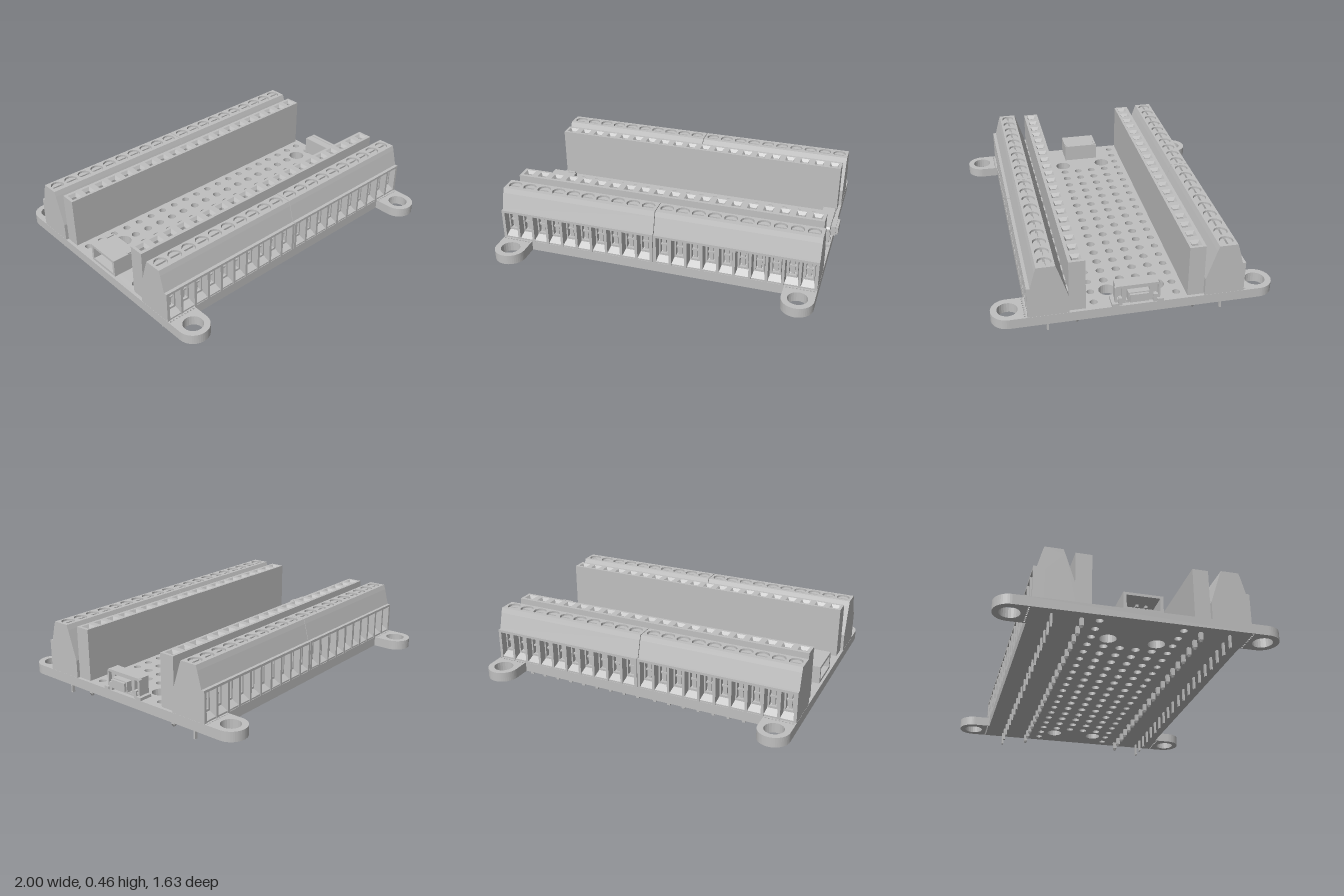
import * as THREE from 'three';
import { mergeGeometries } from 'three/addons/utils/BufferGeometryUtils.js';

const PITCH = 0.0965;
const CX = -0.015; // board centre in x
const BOARD_LOW = 0.08, BOARD_TOP = 0.14;

export function createModel() {
  const model = new THREE.Group();
  model.name = 'terminalBreakoutBoard';
  const grey = new THREE.MeshStandardMaterial({ color: 0xc0c0c0, side: THREE.DoubleSide });
  grey.name = 'plain grey';

  const assembly = new THREE.Group();
  assembly.name = 'boardAssembly';
  assembly.position.x = CX;
  model.add(assembly);

  const add = (parent, name, geos) => {
    const list = geos.map((g) => (g.index ? g.toNonIndexed() : g));
    const mesh = new THREE.Mesh(mergeGeometries(list), grey);
    mesh.name = name;
    parent.add(mesh);
    return mesh;
  };
  // box given by its limits on each axis
  const box = (x0, x1, y0, y1, z0, z1) =>
    new THREE.BoxGeometry(x1 - x0, y1 - y0, z1 - z0).translate((x0 + x1) / 2, (y0 + y1) / 2, (z0 + z1) / 2);
  const polygon = (pts) => new THREE.Shape(pts.map((p) => new THREE.Vector2(p[0], p[1])));
  const rect = (x0, x1, y0, y1) => polygon([[x0, y0], [x1, y0], [x1, y1], [x0, y1]]);
  const circle = (x, y, r) => new THREE.Path().absarc(x, y, r, 0, Math.PI * 2, true);
  // (z, y) profile drawn out between x0 and x1
  const alongX = (shape, x0, x1) =>
    new THREE.ExtrudeGeometry(shape, { depth: x1 - x0, bevelEnabled: false, curveSegments: 8 })
      .rotateY(-Math.PI / 2).translate(x1, 0, 0);
  // (x, -z) plan drawn up between y0 and y1
  const upward = (shape, y0, y1, segs = 12) =>
    new THREE.ExtrudeGeometry(shape, { depth: y1 - y0, bevelEnabled: false, curveSegments: segs })
      .rotateX(-Math.PI / 2).translate(0, y0, 0);
  const twenty = Array.from({ length: 20 }, (_, i) => (i - 9.5) * PITCH);

  // circuit board with four rounded mounting ears
  const W = 0.983, D = 0.62, R = 0.095, EAR = 0.722;
  const plan = new THREE.Shape();
  plan.moveTo(-W, -EAR);
  plan.absarc(-W + R, -EAR, R, Math.PI, Math.PI * 2, false);
  plan.lineTo(-W + 2 * R, -D);
  plan.lineTo(W - 2 * R, -D);
  plan.lineTo(W - 2 * R, -EAR);
  plan.absarc(W - R, -EAR, R, Math.PI, Math.PI * 2, false);
  plan.lineTo(W, EAR);
  plan.absarc(W - R, EAR, R, 0, Math.PI, false);
  plan.lineTo(W - 2 * R, D);
  plan.lineTo(-W + 2 * R, D);
  plan.lineTo(-W + 2 * R, EAR);
  plan.absarc(-W + R, EAR, R, 0, Math.PI, false);
  plan.closePath();
  for (const sz of [-1, 1]) {
    for (const sx of [-1, 1]) {
      plan.holes.push(circle(sx * (W - R), sz * EAR, 0.059));
      plan.holes.push(circle(sx * 0.772 + 0.048 - 0.0, sz * 0.143, 0.05));
      // break-off perforation
      for (let i = 0; i < 9; i++)
        plan.holes.push(circle(sx * (W - 0.015 - i * 0.02), sz * 0.631, 0.006));
    }
    twenty.forEach((x, i) => {
      plan.holes.push(circle(x, sz * 0.24, 0.022));
      if (i >= 3 && i <= 17)
        for (const z of [0.048, 0.145]) plan.holes.push(circle(x, sz * z, 0.025));
    });
  }
  add(assembly, 'circuitBoard', [upward(plan, BOARD_LOW, BOARD_TOP)]);

  // one screw terminal block of ten ways, centred on x = cx
  function terminalBlock(cx) {
    const g = new THREE.Group();
    g.name = 'terminalBlock';
    g.position.x = cx;
    const L = 0.49;
    const ways = Array.from({ length: 10 }, (_, i) => (i - 4.5) * PITCH);

    const core = polygon([[0.388, 0.14], [0.555, 0.14], [0.555, 0.315], [0.62, 0.315], [0.62, 0.33],
      [0.6, 0.33], [0.573, 0.43], [0.446, 0.43], [0.388, 0.25]]);
    const innerWedge = polygon([[0.446, 0.43], [0.457, 0.43], [0.457, 0.46]]);
    const outerWedge = polygon([[0.563, 0.43], [0.573, 0.43], [0.563, 0.46]]);
    const lid = rect(-L, L, -0.563, -0.457);
    ways.forEach((x) => lid.holes.push(circle(x, -0.51, 0.04)));
    add(g, 'housing', [alongX(core, -L, L), alongX(innerWedge, -L, L), alongX(outerWedge, -L, L),
      upward(lid, 0.43, 0.46)]);

    // walls between the wire entries
    const walls = [box(-L, -L + 0.018, 0.14, 0.315, 0.555, 0.62), box(L - 0.018, L, 0.14, 0.315, 0.555, 0.62)];
    for (let i = 1; i < 10; i++) {
      const x = (i - 5) * PITCH;
      walls.push(box(x - 0.008, x + 0.008, 0.14, 0.315, 0.555, 0.62));
    }
    add(g, 'entryWalls', walls);

    const cages = [], ramps = [], screws = [], pins = [], ribs = [];
    // half of a slotted screw head
    const half = new THREE.Shape();
    const a = Math.asin(0.006 / 0.036);
    half.absarc(0, 0, 0.036, a, Math.PI - a, false);
    half.closePath();
    const ramp = polygon([[0.555, 0.14], [0.617, 0.14], [0.617, 0.15], [0.555, 0.195]]);
    for (const x of ways) {
      // wire clamp: metal frame, clamping bar and stem
      const frame = rect(x - 0.03, x + 0.03, 0.18, 0.305);
      frame.holes.push(rect(x - 0.021, x + 0.021, 0.193, 0.293));
      cages.push(new THREE.ExtrudeGeometry(frame, { depth: 0.03, bevelEnabled: false }).translate(0, 0, 0.553),
        box(x - 0.022, x + 0.022, 0.243, 0.253, 0.553, 0.572),
        box(x - 0.01, x + 0.01, 0.193, 0.293, 0.553, 0.567));
      // flared entry floor
      const r = alongX(ramp, -0.04, 0.04);
      const p = r.attributes.position;
      for (let i = 0; i < p.count; i++) if (p.getY(i) > 0.17) p.setX(i, p.getX(i) * 0.65);
      r.computeVertexNormals();
      ramps.push(r.translate(x, 0, 0));
      for (const turn of [0, Math.PI])
        screws.push(upward(half, 0, 0.02).rotateY(turn).translate(x, 0.43, 0.51));
      pins.push(box(x - 0.01, x + 0.01, 0, 0.09, 0.5, 0.511));
      ribs.push(box(x - 0.027, x + 0.027, 0.14, 0.27, 0.385, 0.402));
    }
    add(g, 'wireClamps', cages);
    add(g, 'entryRamps', ramps);
    add(g, 'screwHeads', screws);
    add(g, 'terminalPins', pins);
    add(g, 'couplingRibs', ribs);
    return g;
  }

  // tall twenty-way socket strip
  function socketHeader() {
    const g = new THREE.Group();
    g.name = 'socketHeader';
    const L = 0.964, z = 0.338;
    const lid = rect(-L, L, -0.386, -0.292);
    const funnels = [], pins = [];
    for (const x of twenty) {
      lid.holes.push(rect(x - 0.029, x + 0.029, -z - 0.029, -z + 0.029));
      const q = Math.SQRT2;
      funnels.push(new THREE.CylinderGeometry(0.029 * q, 0.017 * q, 0.02, 4, 1, true)
        .rotateY(Math.PI / 4).translate(x, 0.45, z).toNonIndexed());
      funnels[funnels.length - 1].computeVertexNormals();
      // tapered solder tail
      pins.push(box(x - 0.011, x + 0.011, 0.035, 0.09, z - 0.011, z + 0.011),
        new THREE.CylinderGeometry(0.0155, 0.008, 0.015, 4).rotateY(Math.PI / 4).translate(x, 0.0275, z));
    }
    add(g, 'headerBody', [box(-L, L, 0.14, 0.41, 0.292, 0.386), upward(lid, 0.41, 0.46)]);
    add(g, 'socketFunnels', funnels);
    add(g, 'headerPins', pins);
    return g;
  }

  // front and back rows
  for (const [name, turn] of [['frontRow', 0], ['backRow', Math.PI]]) {
    const row = new THREE.Group();
    row.name = name;
    row.rotation.y = turn;
    row.add(terminalBlock(-0.492), terminalBlock(0.492), socketHeader());
    assembly.add(row);
  }

  // push button on the left edge
  const button = new THREE.Group();
  button.name = 'pushButton';
  assembly.add(button);
  const face = polygon([[-0.13, 0.16], [0.13, 0.16], [0.13, 0.255], [0.12, 0.265], [-0.12, 0.265], [-0.13, 0.255]]);
  face.holes.push(rect(-0.068, 0.068, 0.168, 0.242));
  for (const s of [-1, 1]) face.holes.push(rect(s * 0.105 - 0.014, s * 0.105 + 0.014, 0.18, 0.25));
  add(button, 'buttonCase', [box(0.895, 0.95, 0.15, 0.262, -0.125, 0.125), alongX(face, 0.95, 0.972)]);
  add(button, 'buttonPlunger', [box(0.94, 1.0, 0.174, 0.236, -0.06, 0.06),
    box(1.0, 1.015, 0.18, 0.23, -0.053, 0.053)]);
  const feet = [];
  for (const s of [-1, 1]) {
    const z = s * 0.13;
    feet.push(box(0.9, 0.985, 0.14, 0.158, z - 0.018, z + 0.018),
      box(0.955, 0.98, 0.14, 0.19, s * 0.1 - 0.01, s * 0.1 + 0.01));
  }
  feet.push(box(0.91, 0.96, 0.14, 0.15, -0.11, 0.11));
  add(button, 'buttonFeet', feet);

  // cable socket on the right edge, open outward
  const socket = new THREE.Group();
  socket.name = 'cableSocket';
  assembly.add(socket);
  const shell = rect(-0.118, 0.11, 0.14, 0.25);
  shell.holes.push(rect(-0.1, 0.092, 0.156, 0.234));
  add(socket, 'socketShell', [alongX(shell, -0.968, -0.84), box(-0.84, -0.808, 0.14, 0.25, -0.118, 0.11)]);
  const contacts = [];
  for (const z of [-0.03, 0.022]) contacts.push(box(-0.93, -0.83, 0.188, 0.202, z - 0.007, z + 0.007));
  add(socket, 'socketContacts', contacts);
  const tabs = [];
  for (const z of [-0.108, 0.1]) tabs.push(box(-0.865, -0.815, 0.25, 0.256, z - 0.008, z + 0.008));
  add(socket, 'socketTabs', tabs);

  return model;
}
